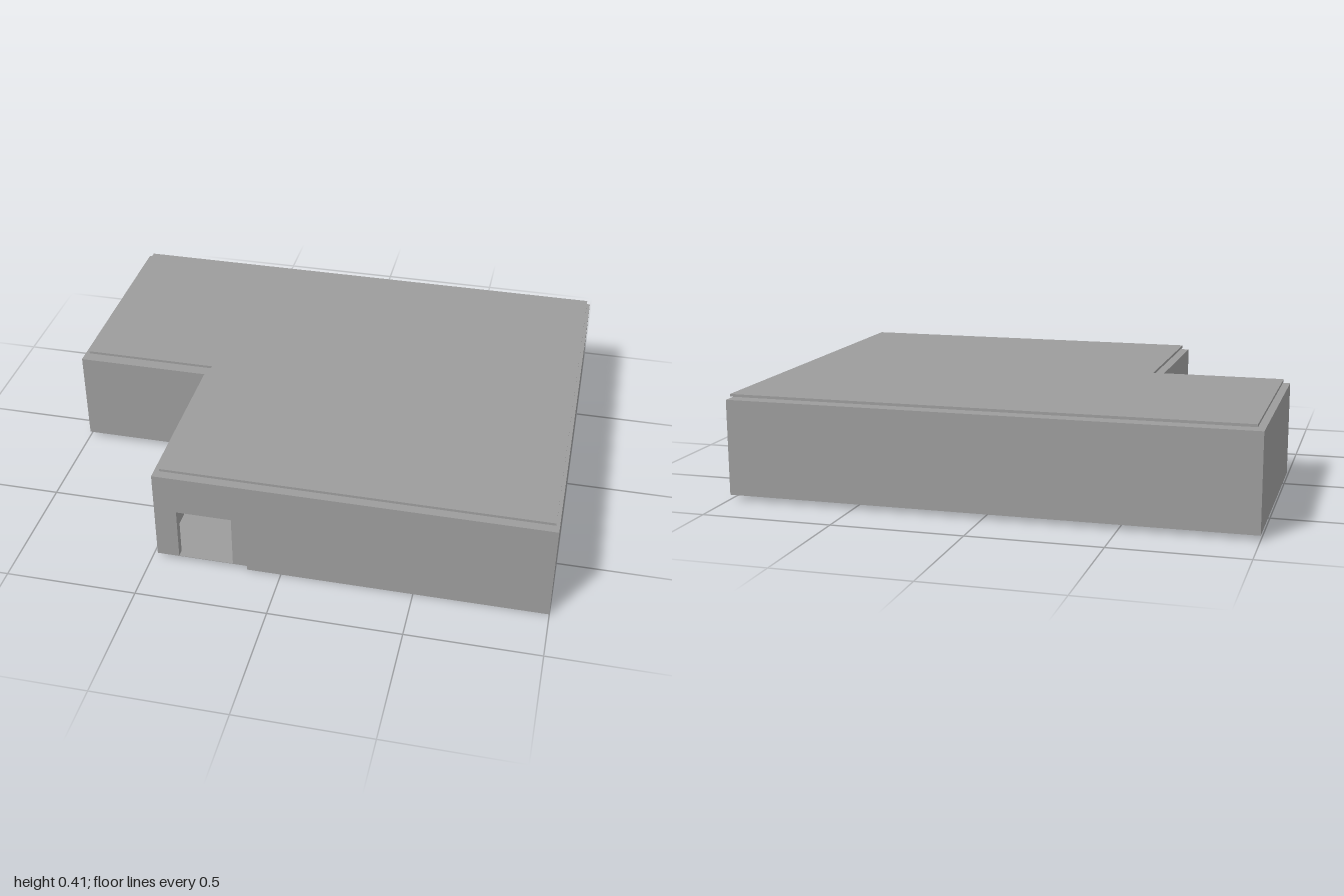
import * as THREE from 'three';

const material = new THREE.MeshStandardMaterial({ color: 0x9c9c9c, flatShading: true });

// L-shaped plan in (x, z): the front left-hand corner is cut away
function planPoints(left, right, back, front, notchX, notchZ) {
  return [[left, back], [right, back], [right, front], [notchX, front], [notchX, notchZ], [left, notchZ]]
    .map(([x, z]) => new THREE.Vector2(x, z));
}
const insetPlan = (d) => planPoints(-1 + d, 1 - d, -0.785 + d, 0.785 - d, -0.48 + d, 0.1 - d);

// Extrude a plan between two heights
function addPlan(group, name, points, y0, y1, hole) {
  const shape = new THREE.Shape(points);
  if (hole) shape.holes.push(new THREE.Path(hole));
  const geometry = new THREE.ExtrudeGeometry(shape, { depth: y1 - y0, bevelEnabled: false });
  geometry.rotateX(Math.PI / 2);
  const mesh = new THREE.Mesh(geometry, material);
  mesh.name = name;
  mesh.position.y = y1;
  group.add(mesh);
}

function addBox(group, name, x0, x1, y0, y1, z0, z1) {
  const mesh = new THREE.Mesh(new THREE.BoxGeometry(x1 - x0, y1 - y0, z1 - z0), material);
  mesh.name = name;
  mesh.position.set((x0 + x1) / 2, (y0 + y1) / 2, (z0 + z1) / 2);
  group.add(mesh);
}

export function createModel() {
  const building = new THREE.Group();
  building.name = 'building';
  const outer = insetPlan(0);
  const inner = insetPlan(0.03);

  // Floor, and walls with a gap for the doorway
  const doorLeft = -0.395, doorRight = -0.185, doorTop = 0.23;
  const at = (x, z) => new THREE.Vector2(x, z);
  const wallPlan = [
    at(doorLeft, 0.785), ...outer.slice(3), ...outer.slice(0, 3), at(doorRight, 0.785),
    at(doorRight, 0.755), ...inner.slice(0, 3).reverse(), ...inner.slice(3).reverse(), at(doorLeft, 0.755),
  ];
  addPlan(building, 'floor', outer, 0.018, 0.02);
  addPlan(building, 'walls', wallPlan, 0.02, doorTop);
  addPlan(building, 'upperWalls', outer, doorTop, 0.37, inner);
  addPlan(building, 'ceiling', outer, 0.37, 0.385);

  // Recessed joint and thin roof sheet
  addPlan(building, 'roofJoint', insetPlan(0.058), 0.385, 0.396);
  addPlan(building, 'roof', planPoints(-0.977, 0.987, -0.775, 0.763, -0.456, 0.068), 0.396, 0.406);

  // Foundation walls under the front room, open on the left side
  const t = 0.017, end = -0.13, back = 0.063, front = 0.785;
  addBox(building, 'frontFoundation', end, 1, 0, 0.018, front - t, front);
  addBox(building, 'backFoundation', end, 1, 0, 0.018, back, back + t);

  // Side foundation wall with a slot above its lower beam
  addBox(building, 'sideFoundationBeam', end, end + t, 0, 0.01, back + t, front - t);
  for (const [z0, z1] of [[back + t, 0.26], [0.39, front - t]]) {
    addBox(building, 'sideFoundation', end, end + t, 0.01, 0.018, z0, z1);
  }
  return building;
}
